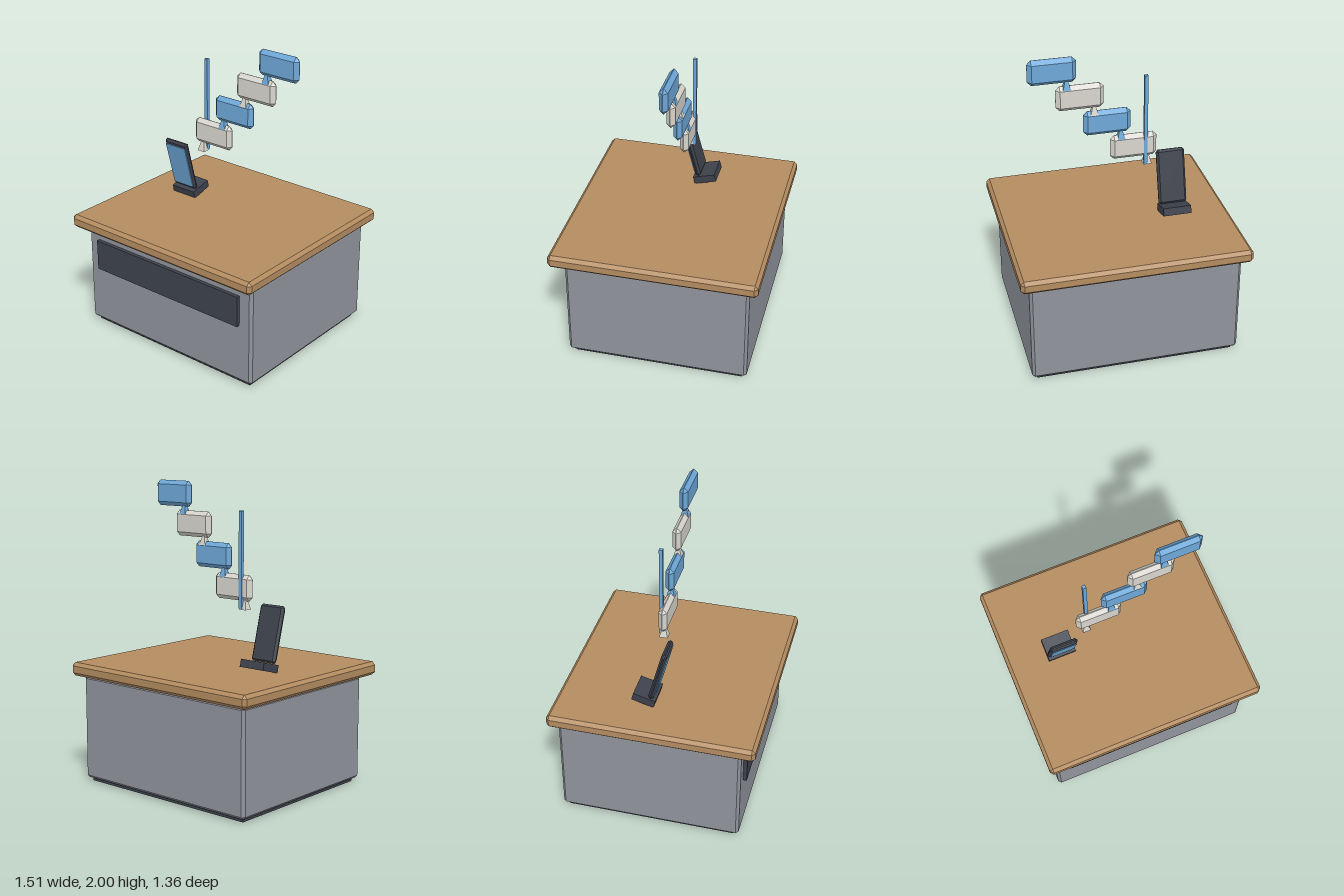
import * as THREE from 'three';
import { ConvexGeometry } from 'three/addons/geometries/ConvexGeometry.js';

const material = (name, color) => {
  const m = new THREE.MeshStandardMaterial({ color });
  m.name = name;
  return m;
};

// Box whose edges and corners are cut by one flat bevel
function chamferBox(w, h, d, b) {
  const points = [];
  for (const x of [-w / 2, w / 2]) for (const y of [-h / 2, h / 2]) for (const z of [-d / 2, d / 2]) {
    const ix = x - Math.sign(x) * b, iy = y - Math.sign(y) * b, iz = z - Math.sign(z) * b;
    points.push(new THREE.Vector3(x, iy, iz), new THREE.Vector3(ix, y, iz), new THREE.Vector3(ix, iy, z));
  }
  return new ConvexGeometry(points);
}

export function createModel() {
  const wood = material('wood', 0xb48c60);
  const grey = material('cabinetGrey', 0x90949c);
  const dark = material('darkGrey', 0x3e424c);
  const blue = material('blue', 0x6ea8d8);
  const cream = material('cream', 0xd8d6ce);

  const model = new THREE.Group();
  model.name = 'serviceCounter';
  const add = (parent, name, geometry, mat, x, y, z) => {
    const mesh = new THREE.Mesh(geometry, mat);
    mesh.name = name;
    mesh.position.set(x, y, z);
    parent.add(mesh);
    return mesh;
  };

  // Counter
  add(model, 'plinth', new THREE.BoxGeometry(1.32, 0.04, 1.13), dark, 0, 0.02, -0.018);
  add(model, 'cabinet', chamferBox(1.39, 0.7, 1.203, 0.018), grey, 0, 0.375, -0.018);
  add(model, 'frontPanel', new THREE.BoxGeometry(1.2, 0.21, 0.03), dark, 0, 0.537, 0.593);
  add(model, 'countertop', chamferBox(1.51, 0.09, 1.362, 0.022), wood, 0, 0.771, 0);

  // Tilted display and its foot
  const tilt = THREE.MathUtils.degToRad(15);
  const foot = add(model, 'displayFoot', new THREE.BoxGeometry(0.19, 0.052, 0.152), dark, -0.39, 0.857, -0.107);
  foot.rotation.x = tilt;
  const display = new THREE.Group();
  display.name = 'display';
  display.position.set(-0.39, 1.054, -0.015);
  display.rotation.x = tilt;
  model.add(display);
  add(display, 'displayCase', chamferBox(0.192, 0.372, 0.036, 0.014), dark, 0, 0, 0);
  add(display, 'screen', new THREE.BoxGeometry(0.166, 0.312, 0.008), blue, 0, 0, 0.019);

  // Thin post behind the lowest sign
  add(model, 'post', new THREE.BoxGeometry(0.023, 0.63, 0.023), blue, -0.197, 1.515, -0.059);

  // Rising row of bubble-shaped signs, each with a pointed tail
  const signGeometry = chamferBox(0.31, 0.17, 0.056, 0.0265);
  const tailGeometry = new THREE.ConeGeometry(0.028 * Math.SQRT2, 0.1, 4).rotateY(Math.PI / 4).toNonIndexed();
  tailGeometry.computeVertexNormals();
  for (let i = 0; i < 4; i++) {
    const sign = new THREE.Group();
    sign.name = 'sign' + (i + 1);
    sign.position.set(-0.12 + i * 0.175, 1.334 + i * 0.1937, -0.038);
    model.add(sign);
    const mat = i % 2 ? blue : cream;
    add(sign, 'signPanel', signGeometry, mat, 0, 0, 0);
    add(sign, 'signTail', tailGeometry, mat, -0.092, -0.09, 0);
  }
  return model;
}
